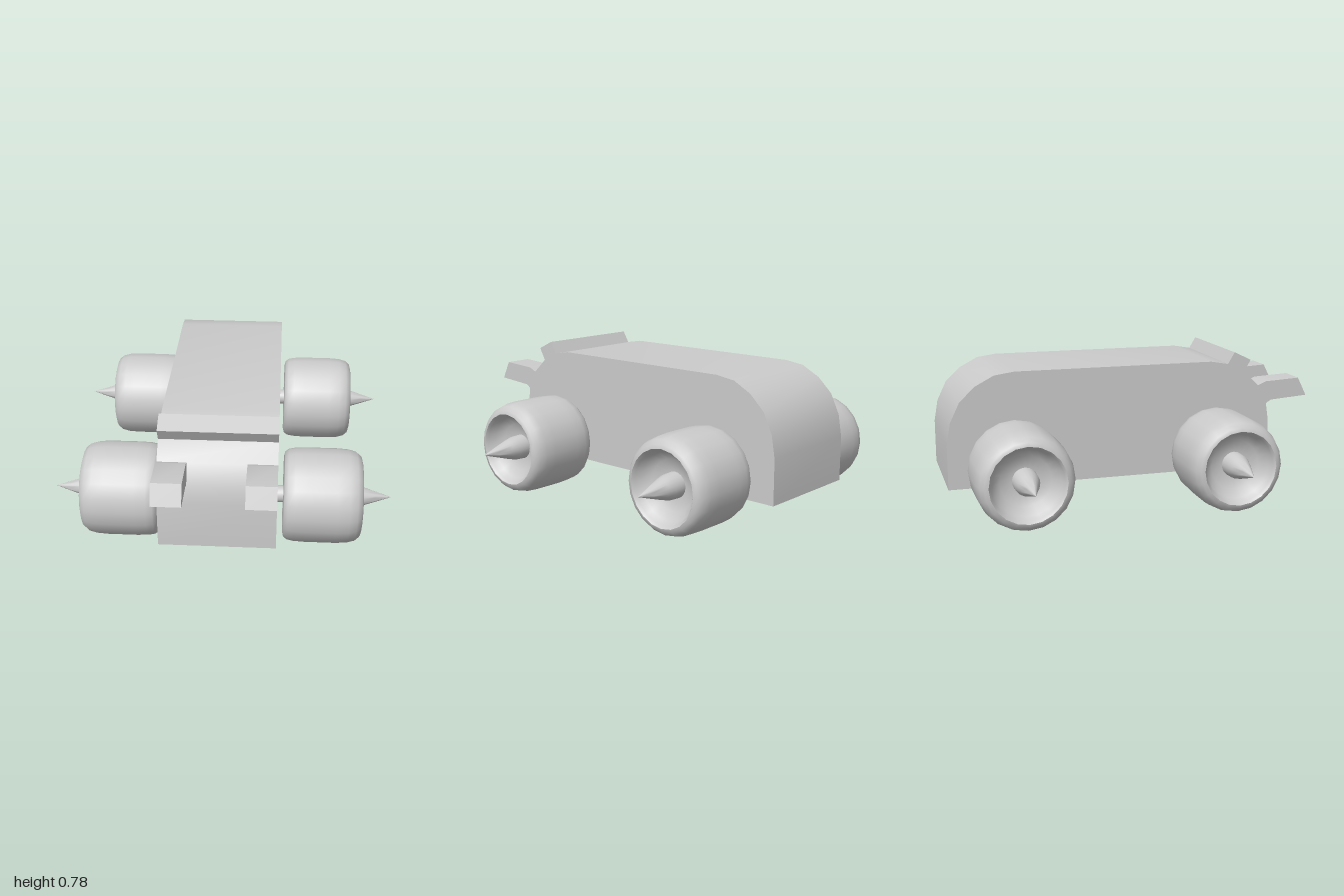
import * as THREE from 'three';
import { toCreasedNormals } from 'three/addons/utils/BufferGeometryUtils.js';

const material = new THREE.MeshStandardMaterial({ color: 0xcccccc });

// Extrudes a side profile of [z, y] points from x0 to x1
function sidePanel(name, points, x0, x1) {
  const shape = new THREE.Shape(points.map(([z, y]) => new THREE.Vector2(z, y)));
  const geometry = new THREE.ExtrudeGeometry(shape, { depth: x1 - x0, bevelEnabled: false });
  geometry.rotateY(-Math.PI / 2).translate(x1, 0, 0);
  const mesh = new THREE.Mesh(toCreasedNormals(geometry, 0.5), material);
  mesh.name = name;
  return mesh;
}

// Turns a profile of [radius, height] points around the axle
function turned(name, points, crease) {
  let geometry = new THREE.LatheGeometry(points.map(([r, h]) => new THREE.Vector2(r, h)), 20);
  geometry = toCreasedNormals(geometry, crease);
  const mesh = new THREE.Mesh(geometry, material);
  mesh.name = name;
  return mesh;
}

// Barrel wheel with dished faces, an axle stub and a pointed hub spike
function makeWheel(name, side, inner, outer, tip, z) {
  const w = outer - inner;
  const wheel = new THREE.Group();
  wheel.name = name;
  wheel.add(turned('tyre', [
    [0, 0.06], [0.06, 0.06], [0.14, 0.04], [0.18, 0.01], [0.2, 0],
    [0.225, 0.006], [0.24, 0.025], [0.247, 0.06], [0.25, 0.12],
    [0.25, w - 0.13], [0.246, w - 0.07], [0.235, w - 0.03], [0.215, w - 0.006],
    [0.195, w], [0.183, w - 0.015], [0.17, w - 0.05], [0.13, w - 0.085],
    [0.07, w - 0.1], [0, w - 0.1],
  ], 0.9));
  wheel.add(turned('hubSpike', [
    [0.066, w - 0.11], [0.063, w - 0.04], [0.052, w], [0.028, w + 0.075], [0, tip - inner],
  ], 0.9));
  wheel.add(turned('axle', [[0.045, -0.06], [0.045, 0.08]], 0.9));
  wheel.rotation.z = -side * Math.PI / 2;
  wheel.position.set(side * inner, 0.25, z);
  return wheel;
}

export function createModel() {
  const model = new THREE.Group();
  model.name = 'spikedCar';

  // Body with rounded tail and sloping nose
  model.add(sidePanel('body', [
    [0.775, 0.135], [0.775, 0.39], [0.76, 0.485], [0.71, 0.59], [0.625, 0.668],
    [0.53, 0.717], [0.43, 0.735], [-0.645, 0.735], [-0.75, 0.72], [-0.85, 0.667],
    [-0.93, 0.59], [-0.98, 0.485], [-1, 0.37], [-1, 0.135],
  ].reverse(), -0.31, 0.29));

  // Raised bar across the nose
  model.add(sidePanel('browBar', [
    [0.66, 0.735], [0.565, 0.78], [0.52, 0.705], [0.615, 0.655],
  ], -0.31, 0.29));

  // Two prongs reaching forward
  const prong = [
    [1, 0.52], [0.95, 0.62], [0.755, 0.61], [0.71, 0.59],
    [0.69, 0.53], [0.757, 0.485], [0.79, 0.505],
  ];
  model.add(sidePanel('rightProng', prong, -0.31, -0.16));
  model.add(sidePanel('leftProng', prong, 0.14, 0.29));

  // Wheels
  model.add(makeWheel('frontLeftWheel', 1, 0.32, 0.73, 0.89, 0.445));
  model.add(makeWheel('frontRightWheel', -1, 0.325, 0.735, 0.895, 0.435));
  model.add(makeWheel('rearLeftWheel', 1, 0.315, 0.72, 0.88, -0.66));
  model.add(makeWheel('rearRightWheel', -1, 0.315, 0.725, 0.89, -0.66));

  return model;
}
